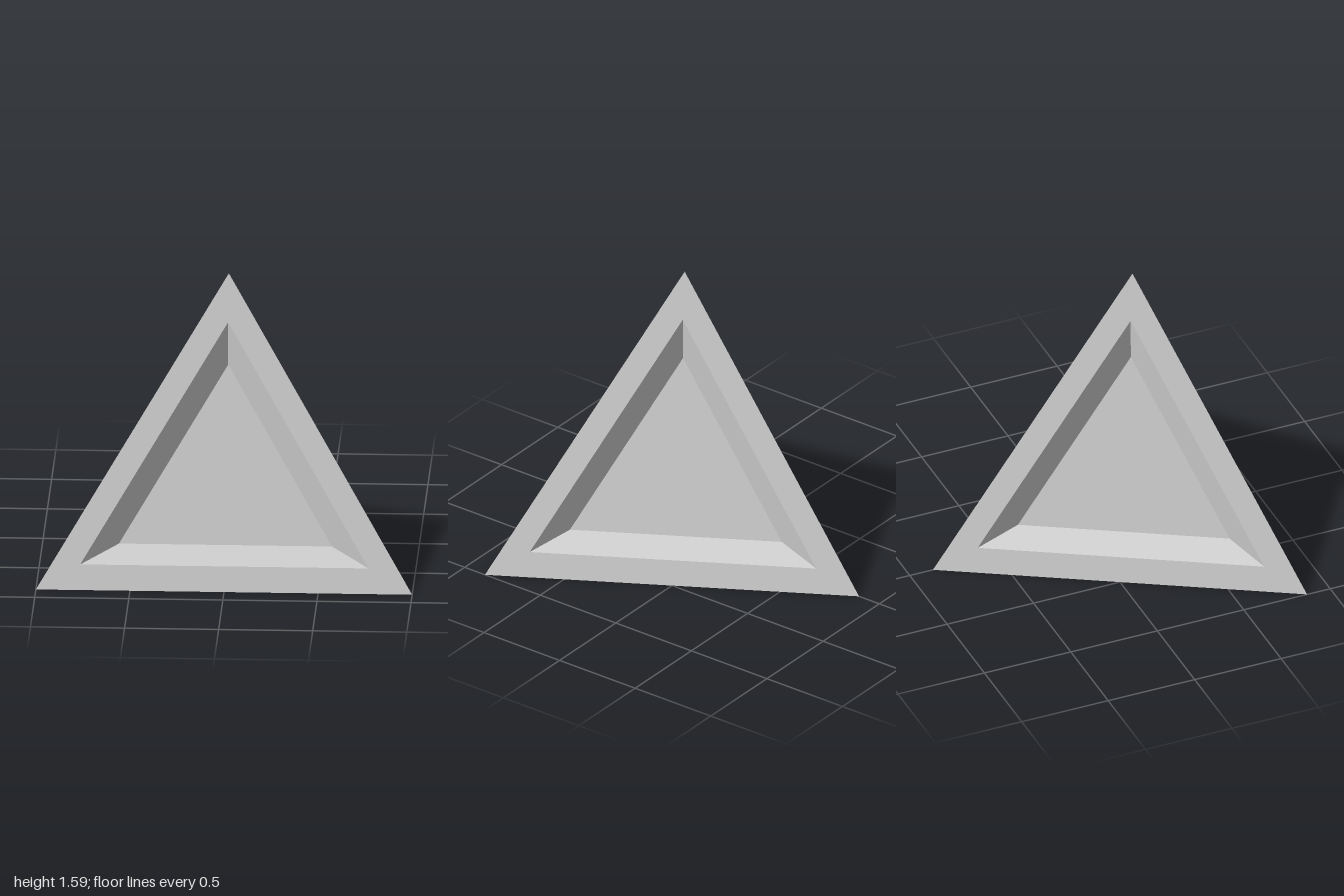
import * as THREE from 'three';

const RIM = 0.766;    // size of the recess opening relative to its face
const FLOOR = 0.566;  // size of the recess floor relative to its face
const DEPTH = 0.094;  // how far the floor sinks into the solid

// Flat-shaded mesh from a list of Vector3 triangles
function facetMesh(name, points, material) {
  const geometry = new THREE.BufferGeometry().setFromPoints(points);
  geometry.computeVertexNormals();
  const mesh = new THREE.Mesh(geometry, material);
  mesh.name = name;
  return mesh;
}

// Band of quads between an outer and an inner triangle
function band(outer, inner) {
  const points = [];
  for (let i = 0; i < 3; i++) {
    const j = (i + 1) % 3;
    points.push(outer[i], outer[j], inner[j], outer[i], inner[j], inner[i]);
  }
  return points;
}

// One face: flat border, sloping recess walls and a sunken floor
function recessedFace(name, corners, weights, material) {
  const centre = new THREE.Vector3();
  corners.forEach((p, i) => centre.addScaledVector(p, weights[i]));
  const normal = new THREE.Triangle(...corners).getNormal(new THREE.Vector3());
  const inset = (size, depth) =>
    corners.map((p) => centre.clone().lerp(p, size).addScaledVector(normal, -depth));
  const rim = inset(RIM, 0);
  const floor = inset(FLOOR, DEPTH);

  const face = new THREE.Group();
  face.name = name;
  face.add(
    facetMesh('border', band(corners, rim), material),
    facetMesh('recessWalls', band(rim, floor), material),
    facetMesh('recessFloor', floor, material),
  );
  return face;
}

export function createModel() {
  const model = new THREE.Group();
  model.name = 'recessedTetrahedron';
  const grey = new THREE.MeshStandardMaterial({ color: 0xcccccc });
  grey.name = 'light grey';

  const left = new THREE.Vector3(1, 0, 0.866);
  const right = new THREE.Vector3(-1, 0, 0.866);
  const back = new THREE.Vector3(0, 0, -0.866);
  const apex = new THREE.Vector3(0, 1.592, 0.288);

  // Corners run counter-clockwise seen from outside
  const side = [0.328, 0.328, 0.344];
  model.add(
    recessedFace('frontFace', [right, left, apex], side, grey),
    recessedFace('leftFace', [left, back, apex], side, grey),
    recessedFace('rightFace', [back, right, apex], side, grey),
    recessedFace('bottomFace', [left, right, back], [1 / 3, 1 / 3, 1 / 3], grey),
  );
  return model;
}
